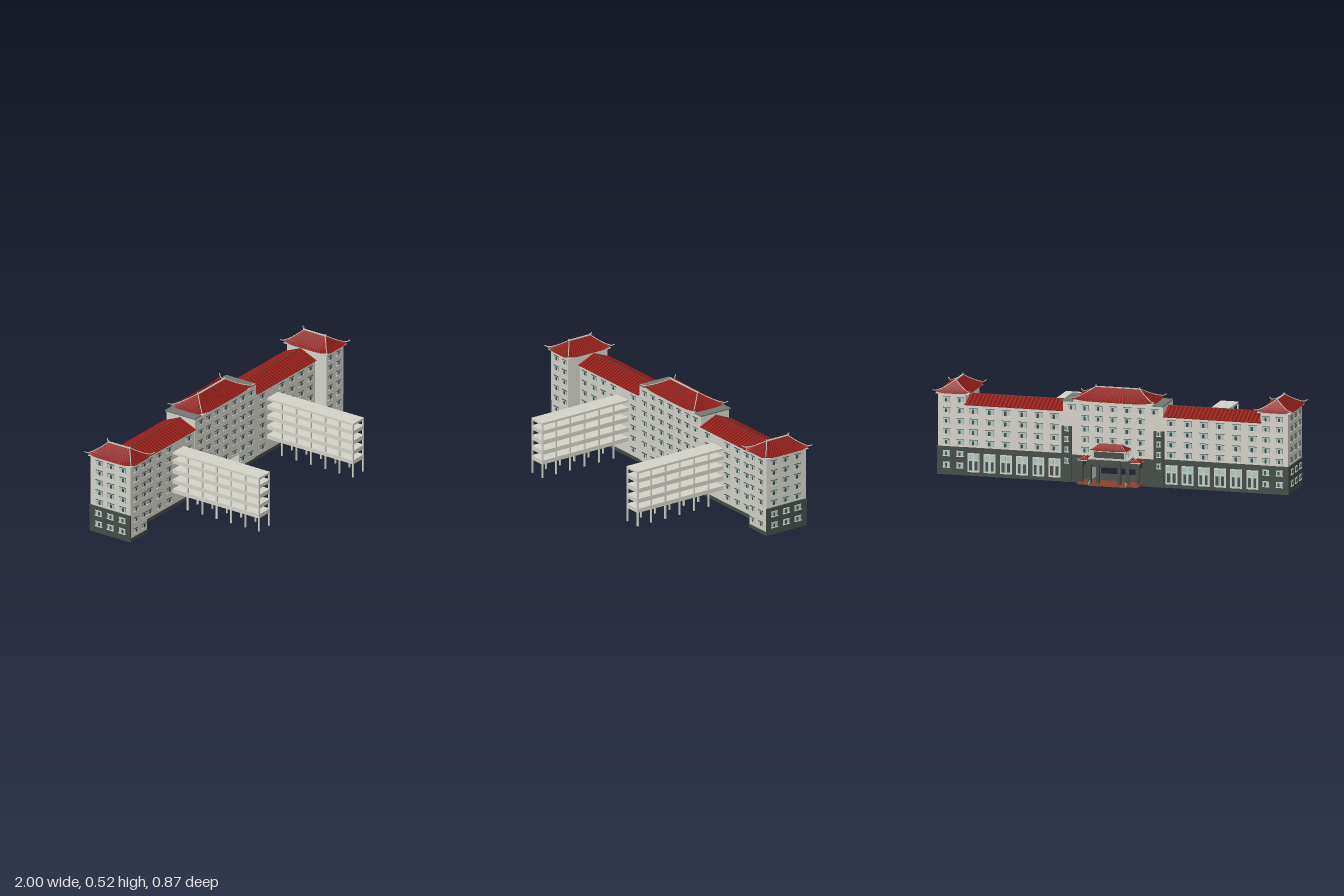
import * as THREE from 'three';
import { mergeGeometries } from 'three/addons/utils/BufferGeometryUtils.js';

const mat = (name, color, side = THREE.FrontSide) =>
  Object.assign(new THREE.MeshStandardMaterial({ color, side }), { name });

export function createModel() {
  const M = {
    wall: mat('warm grey wall', 0xd4d2c9),
    dark: mat('dark stone', 0x444b46),
    red: mat('red tile', 0xa0211b, THREE.DoubleSide),
    deep: mat('deep red tile', 0x741613, THREE.DoubleSide),
    glass: mat('pale teal glass', 0xafc8c5),
    ridge: mat('ridge grey', 0xc2c4bc),
    terra: mat('terracotta', 0x86432f),
    flat: mat('flat roof grey', 0x747973),
    trim: mat('window trim', 0x8f918a),
  };
  const model = new THREE.Group();
  model.name = 'building';

  // Geometries are gathered by part name and colour, then merged
  const parts = new Map();
  const add = (part, m, geo) => {
    const key = part + '|' + m;
    if (!parts.has(key)) parts.set(key, []);
    parts.get(key).push(geo.index ? geo.toNonIndexed() : geo);
  };
  const box = (part, m, x0, x1, y0, y1, z0, z1) =>
    add(part, m, new THREE.BoxGeometry(Math.abs(x1 - x0), y1 - y0, Math.abs(z1 - z0))
      .translate((x0 + x1) / 2, (y0 + y1) / 2, (z0 + z1) / 2));
  const pair = (part, m, x0, x1, ...r) => {
    box(part, m, x0, x1, ...r);
    box(part, m, -x1, -x0, ...r);
  };
  const tube = (part, m, pts, r) => add(part, m, new THREE.TubeGeometry(
    new THREE.CatmullRomCurve3(pts.map(p => new THREE.Vector3(...p))), 8, r, 5));

  // Thin plate on a wall facing along 'z' or 'x'
  const plate = (part, m, axis, plane, dir, u, y, w, h, t) => {
    const a = plane - dir * 0.001, b = plane + dir * t;
    if (axis === 'z') box(part, m, u - w / 2, u + w / 2, y - h / 2, y + h / 2, a, b);
    else box(part, m, a, b, y - h / 2, y + h / 2, u - w / 2, u + w / 2);
  };
  const win = (axis, plane, dir, u, y, w = 0.038, h = 0.027, frame = 'trim') => {
    plate('windowFrame', frame, axis, plane, dir, u, y, w + 0.002, h + 0.002, 0.002);
    plate('windowGlass', 'glass', axis, plane, dir, u, y, w, h, 0.003);
    plate('openPane', 'dark', axis, plane, dir, u + w * 0.08, y - h * 0.1, w * 0.32, h * 0.75, 0.004);
    plate('windowLintel', frame === 'trim' ? 'dark' : frame, axis, plane, dir, u, y + h / 2, w + 0.006, 0.002, 0.005);
    plate('windowSill', 'wall', axis, plane, dir, u, y - h / 2 - 0.002, w + 0.008, 0.004, 0.006);
  };

  // Curved hip roof with upswept corners and striped tile courses
  function hipRoof(part, cx, cz, hw, hd, rx, rz, y0, y1, lift, tip) {
    const corners = [[1, 1], [1, -1], [-1, -1], [-1, 1]], rows = 5;
    const pos = { red: [], deep: [] };
    const point = (i, s, t) => {
      const a = corners[i], b = corners[(i + 1) % 4];
      const X = hw + (rx - hw) * t, Z = hd + (rz - hd) * t;
      const y = y0 + (y1 - y0) * t ** 1.12 + lift * (1 - t) ** 3 * Math.abs(2 * s - 1) ** 5;
      return [cx + X * (a[0] + (b[0] - a[0]) * s), y, cz + Z * (a[1] + (b[1] - a[1]) * s)];
    };
    for (let i = 0; i < 4; i++) {
      const n = 2 * Math.max(4, Math.round((i % 2 ? hw : hd) / 0.009)) + 1;
      for (let j = 0; j < n; j++) for (let k = 0; k < rows; k++) {
        const a = point(i, j / n, k / rows), b = point(i, (j + 1) / n, k / rows);
        const c = point(i, (j + 1) / n, (k + 1) / rows), d = point(i, j / n, (k + 1) / rows);
        pos[j % 2 ? 'red' : 'deep'].push(...a, ...b, ...c, ...a, ...c, ...d);
      }
      // Hip ridge running out to a raised tip
      const [sx, sz] = corners[i];
      tube(part + 'Hip', 'ridge', [[cx + sx * (hw + tip), y0 + lift + tip * 0.7, cz + sz * (hd + tip)],
        point(i, 0, 0), point(i, 0, 0.3), point(i, 0, 0.65), point(i, 0, 1)], tip * 0.25);
    }
    for (const m of ['red', 'deep']) {
      const g = new THREE.BufferGeometry();
      g.setAttribute('position', new THREE.Float32BufferAttribute(pos[m], 3));
      g.setAttribute('uv', new THREE.Float32BufferAttribute(new Float32Array(pos[m].length / 3 * 2), 2));
      g.computeVertexNormals();
      add(part + 'Tiles', m, g);
    }
    // Ridge bar with raised ends, and the soffit below the eaves
    const e = tip * 0.25;
    box(part + 'Ridge', 'ridge', cx - rx - e, cx + rx + e, y1 - e, y1 + e, cz - rz - e, cz + rz + e);
    for (const s of [-1, 1]) {
      const x = cx + s * (rx > rz ? rx : 0), z = cz + s * (rx > rz ? 0 : rz);
      box(part + 'Finial', 'ridge', x - e, x + e, y1, y1 + tip * 0.8, z - e, z + e);
    }
    box(part + 'Soffit', 'ridge', cx - hw * 0.97, cx + hw * 0.97, y0 - 0.004, y0 - 0.0005, cz - hd * 0.97, cz + hd * 0.97);
  }

  const rows = [0.055, 0.118, 0.18, 0.237, 0.295, 0.353, 0.41];

  // End towers: hollow shells, open below, with floor slabs inside
  pair('towerOuterWall', 'wall', 0.969, 0.973, 0.004, 0.441, -0.055, -0.317);
  pair('towerInnerWall', 'wall', 0.82, 0.824, 0.004, 0.441, -0.055, -0.317);
  pair('towerFrontWall', 'wall', 0.82, 0.973, 0.004, 0.441, -0.055, -0.059);
  pair('towerBackWall', 'wall', 0.82, 0.973, 0.004, 0.441, -0.312, -0.317);
  pair('towerFloor', 'wall', 0.824, 0.969, 0.085, 0.09, -0.059, -0.312);
  pair('towerStairLanding', 'wall', 0.824, 0.969, 0.04, 0.045, -0.059, -0.13);
  pair('towerSideCladding', 'dark', 0.97, 0.977, 0, 0.15, -0.054, -0.32);
  pair('towerBackCladding', 'dark', 0.815, 0.977, 0, 0.15, -0.312, -0.32);
  pair('towerPlinth', 'dark', 0.816, 0.976, 0, 0.02, -0.052, -0.06);
  pair('towerCapBand', 'dark', 0.97, 0.979, 0.15, 0.154, -0.054, -0.322);
  pair('towerCapBand', 'dark', 0.815, 0.979, 0.15, 0.154, -0.312, -0.322);
  for (const s of [-1, 1]) {
    hipRoof('towerRoof', s * 0.893, -0.185, 0.095, 0.145, 0.002, 0.07, 0.444, 0.505, 0.013, 0.011);
    rows.forEach((y, i) => {
      for (const z of [-0.105, -0.183, -0.26])
        win('x', s * (i < 2 ? 0.977 : 0.973), s, z, y, 0.038, 0.027, i < 2 ? 'ridge' : 'trim');
      for (const x of [0.85, 0.925]) {
        win('z', -0.055, 1, s * x, y, 0.034, 0.024);
        win('z', i < 2 ? -0.32 : -0.317, -1, s * x, y, 0.034, 0.027, i < 2 ? 'ridge' : 'trim');
      }
    });
  }

  // Wings: front and back walls, open below, with gabled, ribbed roofs
  pair('wingFrontWall', 'wall', 0.27, 0.83, 0.004, 0.388, -0.133, -0.137);
  pair('wingBackWall', 'wall', 0.27, 0.83, 0.004, 0.388, -0.311, -0.315);
  pair('wingFloor', 'wall', 0.27, 0.82, 0.118, 0.122, -0.137, -0.311);
  pair('wingFrontPlinth', 'dark', 0.27, 0.82, 0, 0.018, -0.13, -0.136);
  pair('wingBackCladding', 'dark', 0.27, 0.82, 0, 0.15, -0.31, -0.319);
  pair('wingCapBand', 'dark', 0.27, 0.82, 0.15, 0.154, -0.31, -0.322);
  pair('wingRidge', 'dark', 0.28, 0.83, 0.427, 0.433, -0.223, -0.227);
  const gable = new THREE.Shape([[0.12, 0.386], [0.225, 0.43], [0.33, 0.386]].map(p => new THREE.Vector2(...p)));
  const slope = Math.atan2(0.044, 0.105), len = Math.hypot(0.044, 0.105);
  for (const s of [-1, 1]) {
    add('wingRoof', 'deep', new THREE.ExtrudeGeometry(gable, { depth: 0.545, bevelEnabled: false })
      .rotateY(Math.PI / 2).translate(s > 0 ? 0.28 : -0.825, 0, 0));
    for (let i = 0; i < 24; i++) for (const d of [-1, 1])
      add('wingTileRib', 'red', new THREE.BoxGeometry(0.011, 0.004, len).rotateX(d * slope)
        .translate(s * (0.29 + i * 0.0225), 0.409, -0.225 + d * 0.0525));
    for (const y of rows.slice(0, 6))
      for (const x of [0.335, 0.515, 0.605, 0.69, 0.775]) win('z', -0.133, 1, s * x, y, 0.038, 0.024);
    for (let i = 0; i < 6; i++) {
      const x = s * (0.325 + i * 0.09);
      for (const y of rows.slice(2, 6)) win('z', -0.315, -1, x, y, 0.042, 0.03);
      // Tall framed windows in the stone base
      plate('tallWindowFrame', 'wall', 'z', -0.319, -1, x, 0.072, 0.066, 0.104, 0.003);
      for (const dx of [-0.015, 0.015]) {
        plate('tallWindowGlass', 'glass', 'z', -0.319, -1, x + dx, 0.072, 0.024, 0.09, 0.005);
        plate('tallWindowPane', 'dark', 'z', -0.319, -1, x + dx, 0.056, 0.015, 0.05, 0.006);
      }
      plate('tallWindowTransom', 'wall', 'z', -0.319, -1, x, 0.088, 0.06, 0.004, 0.007);
    }
  }

  // Centre block with a passage through the ground floor
  box('centreWall', 'wall', -0.278, 0.278, 0.09, 0.441, -0.131, -0.317);
  pair('centreLowerWall', 'wall', 0.125, 0.278, 0.004, 0.09, -0.131, -0.317);
  box('passageFloor', 'dark', -0.278, 0.278, 0, 0.015, -0.129, -0.32);
  pair('centreBackCladding', 'dark', 0.125, 0.283, 0, 0.15, -0.312, -0.321);
  box('centreBackBand', 'dark', -0.125, 0.125, 0.09, 0.15, -0.312, -0.321);
  pair('stairCladding', 'dark', 0.228, 0.284, 0, 0.305, -0.31, -0.326);
  pair('flankRoof', 'flat', 0.22, 0.28, 0.44, 0.447, -0.131, -0.327);
  hipRoof('centreRoof', 0, -0.225, 0.227, 0.105, 0.122, 0.002, 0.447, 0.509, 0.013, 0.011);
  rows.forEach((y, i) => {
    for (const x of [-0.23, -0.155, -0.08, 0, 0.08, 0.155, 0.23]) {
      if (i > 0 || Math.abs(x) > 0.15) win('z', -0.131, 1, x, y, 0.036, 0.024);
      if (i > 1 && (Math.abs(x) < 0.2 || i > 5)) win('z', -0.317, -1, x, y, 0.038, 0.029);
    }
    if (i > 0 && i < 5) for (const s of [-1, 1]) win('z', -0.326, -1, s * 0.256, y, 0.02, 0.026, 'ridge');
  });

  // Covered walkway stacks reaching forward
  const decks = [[0.087, 0.11], [0.143, 0.166], [0.201, 0.225], [0.26, 0.281], [0.313, 0.325]];
  for (const [y0, y1] of decks) pair('walkwayDeck', 'wall', 0.38, 0.48, y0, y1, -0.132, 0.436);
  for (const z of [0.432, 0.343, 0.25, 0.155, 0.06, -0.036])
    for (const x of [0.384, 0.476])
      pair('walkwayColumn', 'wall', x - 0.004, x + 0.004, 0.01, 0.314, z - 0.004, z + 0.004);

  // Rear entrance porch
  box('porchFloor', 'terra', -0.17, 0.17, 0.012, 0.02, -0.315, -0.422);
  box('porchStep', 'terra', -0.1, 0.1, 0.01, 0.015, -0.42, -0.432);
  for (const x of [0.06, 0.105]) pair('porchColumn', 'dark', x - 0.009, x + 0.009, 0.02, 0.152, -0.393, -0.409);
  pair('porchOuterColumn', 'dark', 0.15, 0.165, 0.02, 0.138, -0.37, -0.384);
  pair('porchBracket', 'dark', 0.15, 0.165, 0.105, 0.138, -0.315, -0.37);
  box('porchFascia', 'dark', -0.12, 0.12, 0.12, 0.152, -0.394, -0.408);
  box('porchBeam', 'ridge', -0.17, 0.17, 0.136, 0.141, -0.315, -0.395);
  box('porchCornice', 'ridge', -0.112, 0.112, 0.15, 0.158, -0.315, -0.41);
  box('porchSignPanel', 'dark', -0.083, 0.083, 0.158, 0.19, -0.39, -0.396);
  for (const z of [-0.34, -0.395]) pair('porchUpperPost', 'ridge', 0.083, 0.093, 0.158, 0.197, z - 0.004, z + 0.004);
  hipRoof('porchUpperRoof', 0, -0.368, 0.1, 0.05, 0.06, 0.002, 0.2, 0.234, 0.006, 0.006);
  for (const s of [-1, 1])
    hipRoof('porchSideRoof', s * 0.141, -0.361, 0.034, 0.042, 0.002, 0.02, 0.143, 0.157, 0.004, 0.003);
  for (const z of [-0.412, -0.434]) pair('handrailPost', 'ridge', 0.1, 0.102, 0.014, 0.034, z, z - 0.002);
  pair('handrail', 'ridge', 0.1, 0.102, 0.032, 0.034, -0.41, -0.436);

  // One mesh per part and colour
  for (const [key, geos] of parts) {
    const [part, m] = key.split('|');
    const mesh = new THREE.Mesh(mergeGeometries(geos), M[m]);
    mesh.name = part;
    model.add(mesh);
  }
  return model;
}
